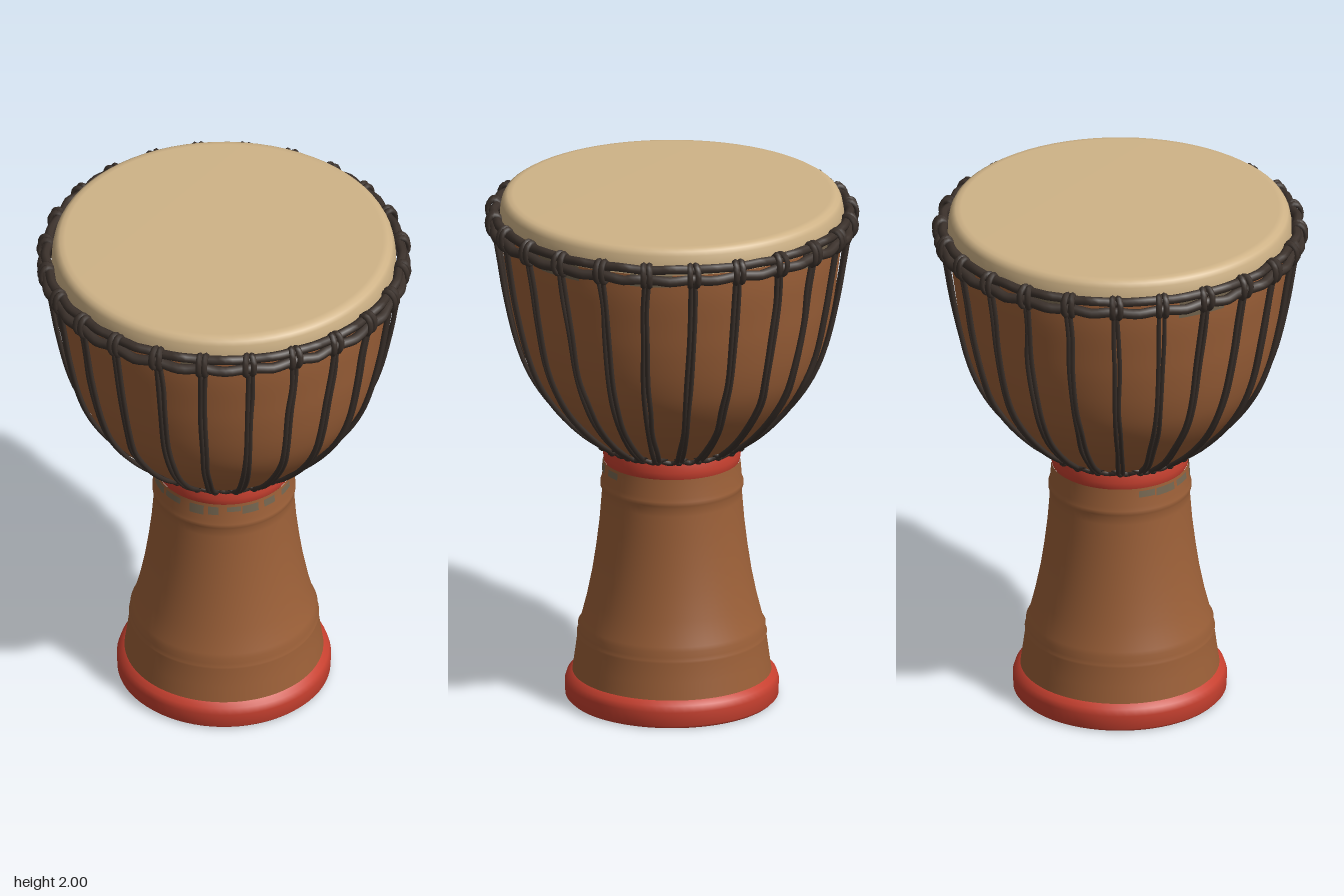
import * as THREE from 'three';

const mat = (name, color, side = THREE.FrontSide) => {
  const m = new THREE.MeshStandardMaterial({ color, side });
  m.name = name;
  return m;
};

export function createModel() {
  const model = new THREE.Group();
  model.name = 'handDrum';
  const wood = mat('warm wood', 0x9c6038);
  const red = mat('red paint', 0xc7402f);
  const skin = mat('drum skin', 0xcfb387);
  const rope = mat('dark rope', 0x3b312b);
  const worn = mat('worn grey', 0x756650, THREE.DoubleSide);
  const COUNT = 24;

  let seed = 7;
  const jitter = (amount) => {
    seed = (seed * 16807) % 2147483647;
    return (seed / 2147483647 - 0.5) * 2 * amount;
  };
  const add = (name, geometry, material, parent = model) => {
    const mesh = new THREE.Mesh(geometry, material);
    mesh.name = name;
    parent.add(mesh);
    return mesh;
  };
  const lathe = (name, points, material) =>
    add(name, new THREE.LatheGeometry(points.map(([r, y]) => new THREE.Vector2(r, y)), 72), material);
  const polar = (a, r, y) => new THREE.Vector3(Math.sin(a) * r, y, Math.cos(a) * r);

  // Foot, neck and bowl, turned from bottom to top
  lathe('footDisc', [[0, 0], [0.39, 0]], red);
  lathe('footBand', [[0.39, 0], [0.402, 0.012], [0.404, 0.065], [0.396, 0.09], [0.375, 0.105]], red);
  lathe('leg', [
    [0.376, 0.1], [0.366, 0.17], [0.356, 0.245], [0.359, 0.255], [0.351, 0.266], [0.354, 0.29],
    [0.344, 0.305], [0.32, 0.4], [0.3, 0.5], [0.285, 0.6], [0.273, 0.7], [0.265, 0.8],
    [0.264, 0.83], [0.27, 0.842], [0.27, 0.858], [0.264, 0.872], [0.258, 0.945],
  ], wood);
  lathe('neckBand', [[0.25, 0.935], [0.257, 0.945], [0.26, 0.97], [0.256, 1.0], [0.25, 1.02]], red);

  const bowlCurve = new THREE.SplineCurve([
    [0.25, 1.005], [0.36, 1.095], [0.463, 1.205], [0.532, 1.31], [0.574, 1.42],
    [0.604, 1.55], [0.622, 1.67], [0.638, 1.8], [0.642, 1.92],
  ].map(([r, y]) => new THREE.Vector2(r, y)));
  add('bowl', new THREE.LatheGeometry(bowlCurve.getPoints(40), 72), wood);

  // Stretched skin with a softly rounded rim
  lathe('drumSkin', [
    [0.65, 1.9], [0.648, 1.94], [0.642, 1.972], [0.634, 1.988], [0.62, 1.997], [0.6, 2], [0, 2],
  ], skin);

  // Thin curved plates: worn paint at the neck, skin edge below the rim
  const plate = (name, a, width, r0, y0, r1, y1, material) => {
    const g = new THREE.CylinderGeometry(r1, r0, y1 - y0, 10, 1, true, a - width / 2, width);
    g.translate(0, (y0 + y1) / 2, 0);
    return add(name, g, material);
  };
  [[-0.62, 0.25, 0.91], [-0.3, 0.34, 0.905], [0.08, 0.3, 0.91], [0.5, 0.22, 0.895], [0.75, 0.15, 0.9],
    [1.05, 0.2, 0.915], [1.3, 0.25, 0.9], [1.62, 0.2, 0.905], [2.0, 0.25, 0.91]].forEach(([a, w, y]) =>
    plate('wornPaint', a, w, 0.2645, y, 0.2615, 0.935, worn));
  [[-0.52, 0.3, 1.83], [-0.27, 0.2, 1.845], [0.75, 0.2, 1.85], [2.3, 0.3, 1.84], [2.9, 0.25, 1.85],
    [-2.2, 0.35, 1.84], [-1.5, 0.25, 1.85]].forEach(([a, w, y]) =>
    plate('skinEdge', a, w, 0.645, y, 0.649, 1.9, worn));

  // Slightly wavy cord hoops
  const hoop = (name, r, y, thickness, waveR, waveY) => {
    const points = [];
    for (let i = 0; i < COUNT * 4; i++) {
      const wave = Math.cos((i / 4) * Math.PI * 2);
      points.push(polar((i / (COUNT * 4)) * Math.PI * 2, r + waveR * wave + jitter(0.002), y + waveY * wave + jitter(0.002)));
    }
    add(name, new THREE.TubeGeometry(new THREE.CatmullRomCurve3(points, true), 192, thickness, 8, true), rope);
  };
  hoop('upperHoop', 0.668, 1.927, 0.018, -0.005, -0.003);
  hoop('lowerHoop', 0.679, 1.887, 0.02, -0.005, 0.003);
  hoop('neckHoop', 0.272, 1.024, 0.014, 0.005, 0.006);
  hoop('neckHoopUpper', 0.29, 1.044, 0.01, 0.006, -0.007);

  // Paired tension cords with a knot around the hoops at each one
  const cordPath = [[0.677, 1.885], [0.656, 1.76], [0.633, 1.62], [0.589, 1.43],
    [0.545, 1.315], [0.476, 1.205], [0.372, 1.092], [0.28, 1.022]];
  for (let i = 0; i < COUNT; i++) {
    const angle = (i / COUNT) * Math.PI * 2;
    const drift = jitter(0.05);
    const bend = cordPath.map(() => jitter(0.008));
    for (const side of [-1, 1]) {
      const points = cordPath.map(([r, y], k) => {
        const a = angle + (drift * k) / 7 + bend[k] + (side * (0.008 + jitter(0.003))) / r;
        return polar(a, r, y);
      });
      add('tensionCord', new THREE.TubeGeometry(new THREE.CatmullRomCurve3(points), 28, 0.0095, 6), rope);
    }

    const knot = new THREE.Group();
    knot.name = 'hoopKnot';
    knot.position.copy(polar(angle, 0.674, 1.905));
    knot.rotation.y = angle;
    model.add(knot);
    for (const side of [-1, 1]) {
      const loop = add('knotLoop', new THREE.TorusGeometry(0.038, 0.0125, 6, 16), rope, knot);
      loop.scale.set(0.72, 1.05, 1);
      loop.rotation.set(0, Math.PI / 2 + side * 0.15 + jitter(0.25), jitter(0.1));
      loop.position.x = side * 0.011;
    }

    // Small wrap where each cord meets the neck
    const wrap = add('neckWrap', new THREE.SphereGeometry(0.018, 8, 6), rope);
    wrap.position.copy(polar(angle + drift, 0.283, 1.028));
  }
  return model;
}
